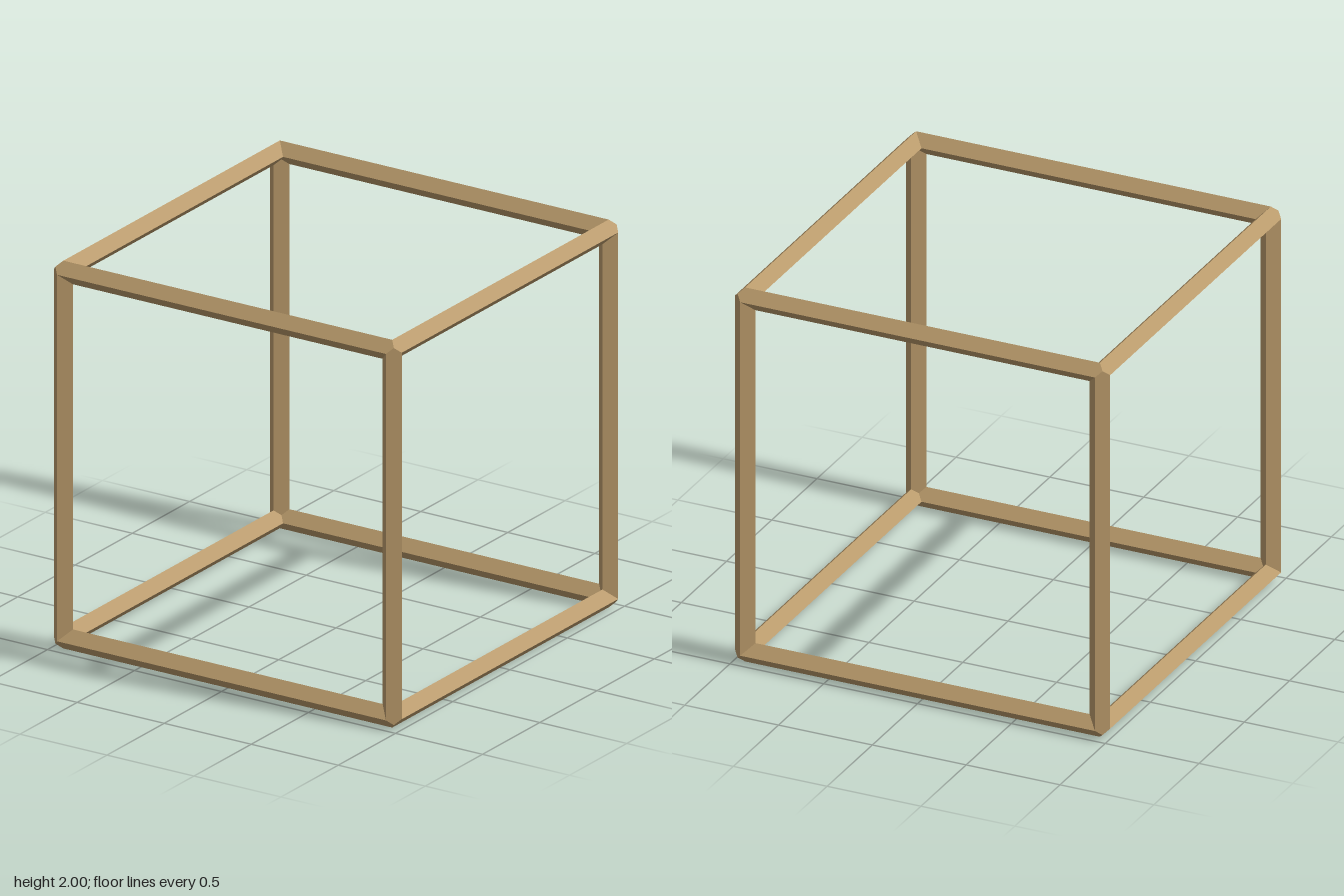
import * as THREE from 'three';

const R = 0.055;        // half diagonal of the diamond bar section
const C = 1 - R;        // distance of each bar's axis from the centre

// One bar along x: diamond section, both ends mitred to meet two other bars.
function barGeometry() {
  // [y, z, half length at that point]
  const ring = [
    [C + R, C, C],
    [C + R / 2, C + R / 2, C + R / 2],
    [C, C + R, C],
    [C - R, C, C - R],
    [C - R / 2, C - R / 2, C - R / 2],
    [C, C - R, C - R],
  ];
  const pos = [];
  ring.forEach(([y, z, x], i) => {
    const [y2, z2, x2] = ring[(i + 1) % ring.length];
    const a = [x, y, z], b = [-x, y, z], c = [-x2, y2, z2], d = [x2, y2, z2];
    pos.push(...a, ...b, ...c, ...a, ...c, ...d);
  });
  const g = new THREE.BufferGeometry();
  g.setAttribute('position', new THREE.Float32BufferAttribute(pos, 3));
  g.computeVertexNormals();
  return g;
}

export function createModel() {
  const model = new THREE.Group();
  model.name = 'cubeFrame';
  const wood = new THREE.MeshStandardMaterial({ color: 0xb8996a });
  const geometry = barGeometry();

  // Four parallel bars for each of the three directions
  const directions = [
    ['widthBars', 0, 0],
    ['uprightBars', 0, Math.PI / 2],
    ['depthBars', Math.PI / 2, 0],
  ];
  for (const [name, turnY, turnZ] of directions) {
    const set = new THREE.Group();
    set.name = name;
    for (let k = 0; k < 4; k++) {
      const bar = new THREE.Mesh(geometry, wood);
      bar.name = 'bar';
      bar.rotation.x = k * Math.PI / 2;
      set.add(bar);
    }
    set.rotation.set(0, turnY, turnZ);
    set.position.y = 1;
    model.add(set);
  }
  return model;
}
